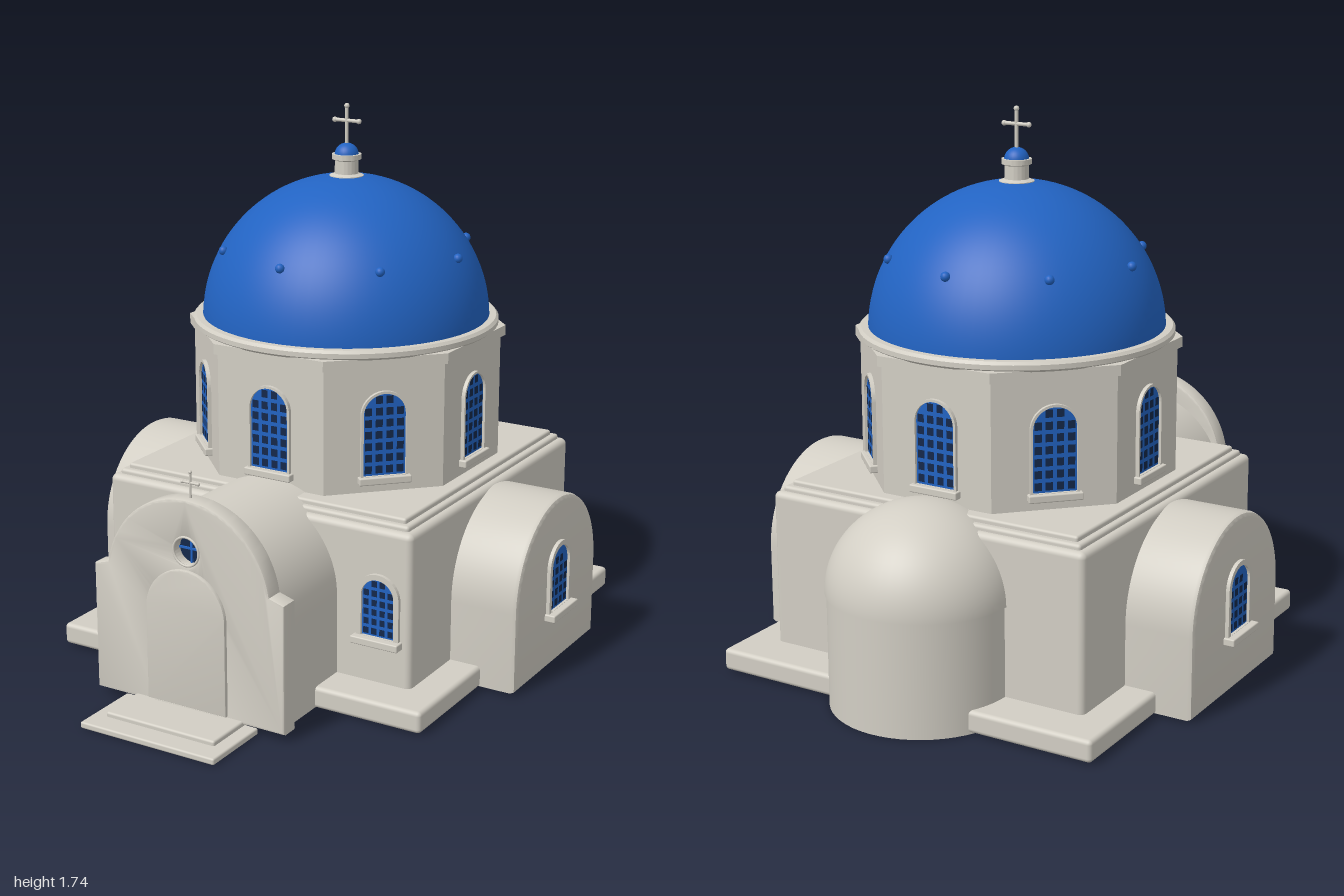
import * as THREE from 'three';
import { mergeGeometries, toCreasedNormals } from 'three/addons/utils/BufferGeometryUtils.js';
import { RoundedBoxGeometry } from 'three/addons/geometries/RoundedBoxGeometry.js';

const mat = (name, color) => Object.assign(new THREE.MeshStandardMaterial({ color }), { name });
const plaster = mat('plaster', 0xd2cec4);
const blue = mat('blue paint', 0x2263c2);
const glass = mat('dark glass', 0x14284a);
const CZ = -0.16; // axis of the drum and dome

function add(parent, name, geometry, material, x = 0, y = 0, z = 0) {
  const m = new THREE.Mesh(geometry, material);
  m.name = name;
  m.position.set(x, y, z);
  parent.add(m);
  return m;
}

// Round-headed outline: half width r, from y0 up to the crown at y1
function arch(r, y0, y1, Type = THREE.Shape) {
  const s = new Type();
  s.moveTo(-r, y0);
  s.lineTo(r, y0);
  s.lineTo(r, y1 - r);
  s.absarc(0, y1 - r, r, 0, Math.PI, false);
  s.lineTo(-r, y0);
  return s;
}

// Extrusion between z0 and z1 with a small bevel kept inside the outline
function extrude(shape, z0, z1, bevel = 0) {
  const g = new THREE.ExtrudeGeometry(shape, {
    depth: z1 - z0 - 2 * bevel, curveSegments: 28, bevelEnabled: bevel > 0,
    bevelThickness: bevel, bevelSize: bevel, bevelOffset: -bevel, bevelSegments: 2,
  });
  g.translate(0, 0, z0 + bevel);
  return toCreasedNormals(g, 0.6);
}

function roundedSlab(parent, name, w, y0, y1, zBack, zFront, r) {
  add(parent, name, new RoundedBoxGeometry(w, y1 - y0, zFront - zBack, 3, r), plaster,
    0, (y0 + y1) / 2, (zBack + zFront) / 2);
}

// Arched lattice window facing +z with its frame and sill
function archedWindow(r, y0, y1, border, sillDepth) {
  const g = new THREE.Group();
  g.name = 'archedWindow';
  const frame = arch(r + border, y0, y1 + border);
  frame.holes.push(arch(r, y0 + 0.001, y1, THREE.Path));
  add(g, 'windowFrame', extrude(frame, -0.01, 0.012), plaster);
  add(g, 'lattice', extrude(arch(r, y0, y1), -0.004, 0.003), blue);
  const step = r / 2, half = step * 0.33, panes = [];
  for (let y = y0 + step * 0.6; y < y1 - half; y += step * 1.1) {
    for (let c = -1.5; c < 2; c++) {
      const x = c * step;
      const top = y + half - (y1 - r);
      if (top > 0 && Math.hypot(Math.abs(x) + half, top) > r) continue;
      panes.push(new THREE.PlaneGeometry(half * 2, half * 2.2).translate(x, y, 0.0045));
    }
  }
  add(g, 'panes', mergeGeometries(panes), glass);
  add(g, 'sill', new RoundedBoxGeometry((r + border) * 2 + 0.016, 0.024, sillDepth + 0.02, 2, 0.004),
    plaster, 0, y0 - 0.012, sillDepth / 2 - 0.01);
  return g;
}

// Slim cross with ball ends, standing on y = 0
function cross(h, armY, arm, t) {
  const g = new THREE.Group();
  g.name = 'cross';
  add(g, 'post', new THREE.CylinderGeometry(t, t, h, 10), plaster, 0, h / 2);
  add(g, 'crossBar', new THREE.CylinderGeometry(t, t, arm * 2, 10), plaster, 0, armY).rotation.z = Math.PI / 2;
  for (const [x, y] of [[-arm, armY], [arm, armY], [0, h]])
    add(g, 'ballEnd', new THREE.SphereGeometry(t * 1.45, 10, 8), plaster, x, y);
  return g;
}

function body(root) {
  roundedSlab(root, 'plinth', 1.32, 0.005, 0.075, -0.85, 0.53, 0.014);
  roundedSlab(root, 'mainBlock', 1.11, 0.01, 0.572, -0.71, 0.4, 0.02);
  roundedSlab(root, 'lowerCornice', 1.06, 0.54, 0.588, -0.688, 0.376, 0.01);
  roundedSlab(root, 'upperCornice', 1.02, 0.55, 0.604, -0.668, 0.356, 0.008);
  for (const s of [-1, 1]) {
    const w = archedWindow(0.056, 0.225, 0.412, 0.018, 0.035);
    w.position.set(s * 0.445, 0, 0.4);
    root.add(w);
    // Vaulted side arm
    const arm = new THREE.Group();
    arm.name = 'sideArm';
    add(arm, 'sideVault', extrude(arch(0.296, 0.008, 0.566), 0.3, 0.78, 0.015), plaster);
    const sw = archedWindow(0.064, 0.2, 0.406, 0.016, 0.035);
    sw.position.z = 0.78;
    arm.add(sw);
    arm.position.z = CZ;
    arm.rotation.y = s * Math.PI / 2;
    root.add(arm);
  }
  // Round apse with a half dome
  add(root, 'apseWall', new THREE.CylinderGeometry(0.29, 0.29, 0.36, 56), plaster, 0, 0.18, -0.704);
  add(root, 'apseDome', new THREE.SphereGeometry(0.296, 56, 20, 0, Math.PI * 2, 0, Math.PI / 2),
    plaster, 0, 0.36, -0.704).scale.y = 0.93;
}

function porch(root) {
  add(root, 'frontVault', extrude(arch(0.298, 0.008, 0.632), 0.1, 0.725), plaster);
  // Stepped gable wall pierced by the door and the round window
  const f = new THREE.Shape();
  f.moveTo(-0.34, 0.025);
  f.lineTo(0.34, 0.025);
  f.lineTo(0.34, 0.435);
  f.lineTo(0.29, 0.45);
  f.absarc(0, 0.405, 0.293, 0.154, Math.PI - 0.154, false);
  f.lineTo(-0.29, 0.45);
  f.lineTo(-0.34, 0.435);
  f.holes.push(arch(0.115, 0.045, 0.44, THREE.Path));
  f.holes.push(new THREE.Path().absarc(0, 0.537, 0.044, 0, Math.PI * 2, false));
  add(root, 'gableWall', extrude(f, 0.71, 0.775, 0.008), plaster);
  const surround = arch(0.141, 0.04, 0.48);
  surround.holes.push(arch(0.114, 0.041, 0.44, THREE.Path));
  add(root, 'doorSurround', extrude(surround, 0.76, 0.787, 0.003), plaster);

  // Double door with raised panels
  add(root, 'door', extrude(arch(0.12, 0.04, 0.445), 0.727, 0.745), blue);
  for (const s of [-1, 1]) {
    for (const [y, h] of [[0.105, 0.09], [0.25, 0.13]])
      add(root, 'doorPanel', new THREE.BoxGeometry(0.075, h, 0.006), blue, s * 0.056, y, 0.747);
    add(root, 'doorHandle', new THREE.SphereGeometry(0.006, 10, 8), plaster, s * 0.014, 0.17, 0.75);
  }
  add(root, 'doorJoint', new THREE.BoxGeometry(0.004, 0.28, 0.003), glass, 0, 0.185, 0.746);
  add(root, 'transomLine', new THREE.BoxGeometry(0.23, 0.004, 0.003), glass, 0, 0.327, 0.746);

  // Round window
  add(root, 'roundPane', new THREE.CircleGeometry(0.05, 32), glass, 0, 0.537, 0.74);
  add(root, 'roundWindowRim', new THREE.TorusGeometry(0.045, 0.004, 8, 36), plaster, 0, 0.537, 0.774);
  for (const a of [0, Math.PI / 2])
    add(root, 'roundWindowBar', new THREE.BoxGeometry(0.09, 0.006, 0.006), blue, 0, 0.537, 0.744).rotation.z = a;

  // Entrance steps and gable cross
  roundedSlab(root, 'lowerStep', 0.48, 0, 0.021, 0.76, 1, 0.006);
  roundedSlab(root, 'upperStep', 0.39, 0.012, 0.036, 0.74, 0.93, 0.007);
  const c = cross(0.085, 0.052, 0.028, 0.004);
  c.position.set(0, 0.692, 0.745);
  root.add(c);
}

function drumAndDome(root) {
  const g = new THREE.Group();
  g.name = 'drumAndDome';
  g.position.z = CZ;
  root.add(g);
  const octagon = (name, apothem, y0, y1) => {
    const r = apothem / Math.cos(Math.PI / 8);
    const geo = new THREE.CylinderGeometry(r, r, y1 - y0, 8).toNonIndexed();
    geo.computeVertexNormals();
    add(g, name, geo, plaster, 0, (y0 + y1) / 2).rotation.y = Math.PI / 8;
  };
  octagon('drum', 0.465, 0.58, 1.02);
  octagon('drumCornice', 0.479, 1.005, 1.038);
  for (let i = 0; i < 8; i++) {
    const a = i * Math.PI / 4;
    const w = archedWindow(0.068, 0.657, 0.922, 0.008, 0.025);
    w.position.set(Math.sin(a) * 0.465, 0, Math.cos(a) * 0.465);
    w.rotation.y = a;
    g.add(w);
    // Dome stud
    add(g, 'domeStud', new THREE.SphereGeometry(0.015, 14, 10), blue, Math.sin(a) * 0.404, 1.288, Math.cos(a) * 0.404);
  }
  const lathe = (pts) => toCreasedNormals(
    new THREE.LatheGeometry(pts.map(([x, y]) => new THREE.Vector2(x, y)), 72), 0.6);
  add(g, 'domeRing', lathe([[0, 1.034], [0.485, 1.034], [0.495, 1.042], [0.495, 1.057], [0.487, 1.066], [0, 1.066]]), plaster);
  add(g, 'dome', new THREE.SphereGeometry(0.465, 72, 30, 0, Math.PI * 2, 0, Math.PI / 2), blue, 0, 1.05);
  // Lantern and its cap
  add(g, 'lantern', lathe([[0.055, 1.5], [0.055, 1.514], [0.038, 1.52], [0.038, 1.562],
    [0.047, 1.566], [0.047, 1.582], [0, 1.584]]), plaster);
  add(g, 'lanternCap', new THREE.SphereGeometry(0.039, 28, 12, 0, Math.PI * 2, 0, Math.PI / 2), blue, 0, 1.578);
  const c = cross(0.125, 0.078, 0.044, 0.006);
  c.position.y = 1.61;
  g.add(c);
}

export function createModel() {
  const root = new THREE.Group();
  root.name = 'domedChapel';
  body(root);
  porch(root);
  drumAndDome(root);
  return root;
}
